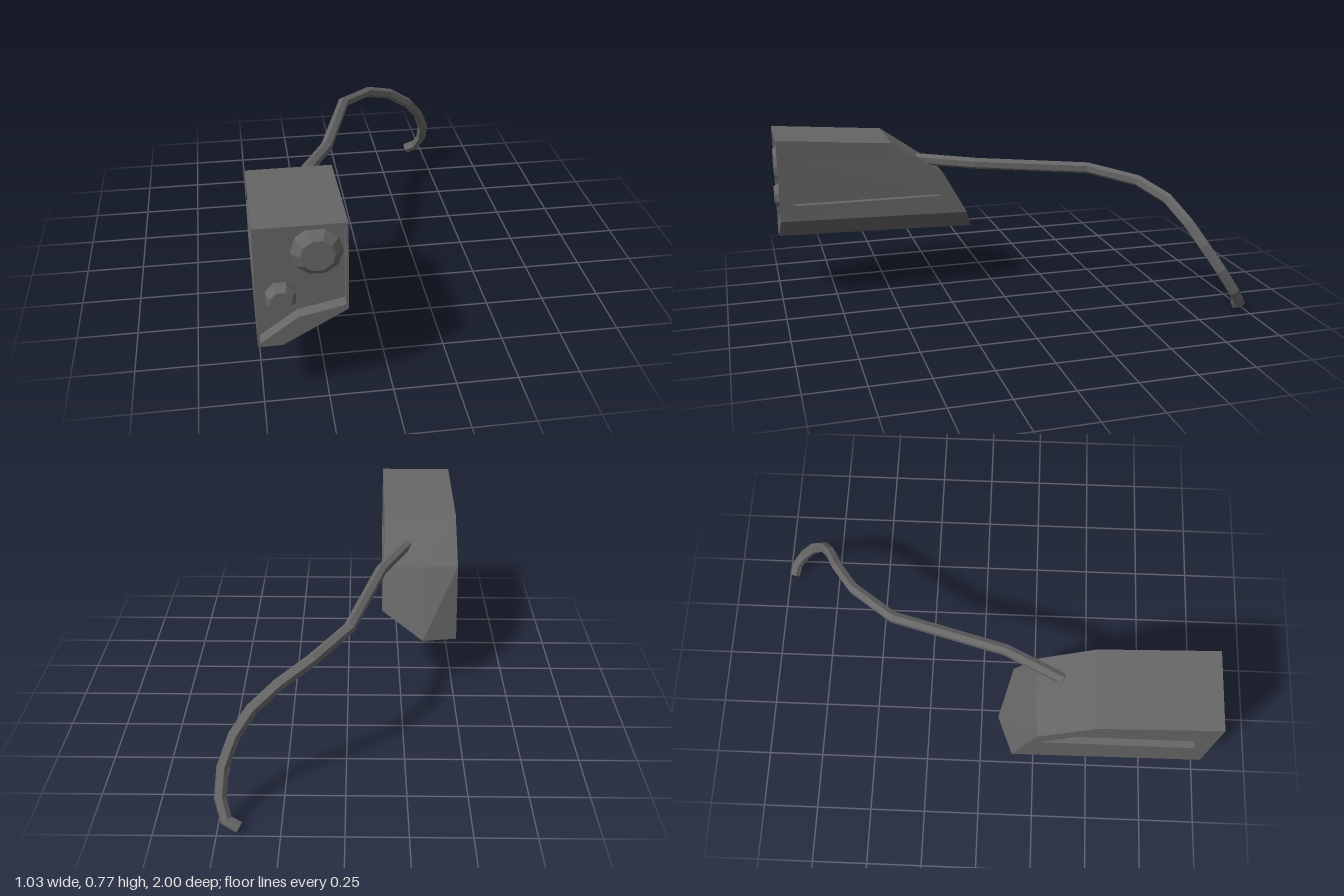
import * as THREE from 'three';

const grey = new THREE.MeshStandardMaterial({ color: 0x666666 });
grey.name = 'dark grey';

const mesh = (name, geo) => {
  const flat = geo.index ? geo.toNonIndexed() : geo;
  flat.computeVertexNormals();
  const m = new THREE.Mesh(flat, grey);
  m.name = name;
  return m;
};

// Flat-shaded geometry from a list of polygons, each split into a fan
function polygons(polys) {
  const out = [];
  for (const p of polys)
    for (let i = 1; i < p.length - 1; i++) out.push(...p[0], ...p[i], ...p[i + 1]);
  const g = new THREE.BufferGeometry();
  g.setAttribute('position', new THREE.Float32BufferAttribute(out, 3));
  return g;
}

// Outline with a sunken pocket; place(u, v, depth) gives the 3D point
function recessedPanel(outline, pocket, depth, place) {
  const vec = (list) => list.map(([u, v]) => new THREE.Vector2(u, v));
  const ccw = (list) => (THREE.ShapeUtils.area(vec(list)) < 0 ? [...list].reverse() : list);
  const outer = ccw(outline), inner = ccw(pocket), hole = [...inner].reverse();
  const all = [...outer, ...hole];
  const polys = THREE.ShapeUtils.triangulateShape(vec(outer), [vec(hole)])
    .map((t) => t.map((i) => place(...all[i], 0)));
  for (const t of THREE.ShapeUtils.triangulateShape(vec(inner), []))
    polys.push(t.map((i) => place(...inner[i], depth)));
  inner.forEach((a, i) => {
    const b = inner[(i + 1) % inner.length];
    polys.push([place(...a, 0), place(...b, 0), place(...b, depth), place(...a, depth)]);
  });
  return polygons(polys);
}

// The left side flares out slightly toward the low rear corner
const leftX = (z, y) => -0.172 + 0.014 * ((0.99 - z) / 0.85) * ((0.775 - y) / 0.385);
const rightX = -0.513;

function knob(name, x, y, r, face, sides, turn) {
  const profile = [[r * 0.88, 0], [r, 0.012], [r, 0.032], [r * 0.9, 0.042], [face, 0.06], [0, 0.06]]
    .map(([a, b]) => new THREE.Vector2(a, b));
  const geo = new THREE.LatheGeometry(profile, sides);
  geo.rotateY(turn).rotateX(Math.PI / 2);
  const m = mesh(name, geo);
  m.position.set(x, y, 0.94);
  return m;
}

export function createModel() {
  const model = new THREE.Group();
  const body = new THREE.Group();
  body.name = 'housing';
  model.add(body);

  // Housing corners: front, top rear, middle rear, low rear
  const A = [rightX, 0.775, 0.99], B = [leftX(0.99, 0.775), 0.775, 0.99];
  const C = [leftX(0.99, 0.405), 0.405, 0.99], D = [-0.42, 0.264, 0.99], E = [rightX, 0.264, 0.99];
  const F = [rightX, 0.735, 0.48], G = [leftX(0.48, 0.735), 0.735, 0.48];
  const H = [rightX, 0.57, 0.245], I = [-0.35, 0.57, 0.235], J = [leftX(0.24, 0.57), 0.57, 0.24];
  const K = [rightX, 0.237, 0.145], L = [-0.35, 0.262, 0.078], M = [leftX(0.14, 0.39), 0.39, 0.14];
  body.add(mesh('housingShell', polygons([
    [A, B, G, F], [F, G, J, I, H], [H, I, L, K], [I, J, M, L], [L, M, C, D], [K, L, D, E],
  ])));

  // Side walls with a sunken panel each
  const pocket = [[0.925, 0.475], [0.925, 0.69], [0.485, 0.655], [0.26, 0.475]];
  const flip = (list) => list.map(([z, y]) => [-z, y]);
  const zy = (list) => list.map((p) => [p[2], p[1]]);
  body.add(mesh('leftSidePanel', recessedPanel(flip(zy([B, G, J, M, C])), flip(pocket), 0.03,
    (u, y, d) => [leftX(-u, y) - d, y, -u])));
  body.add(mesh('rightSidePanel', recessedPanel(zy([A, F, H, K, E]), pocket, 0.03,
    (z, y, d) => [rightX + d, y, z])));

  // Front with a sunken face inside a thin rim
  body.add(mesh('frontPanel', recessedPanel(
    [A, B, C, D, E].map((p) => [p[0], p[1]]),
    [[-0.503, 0.28], [-0.36, 0.385], [-0.181, 0.424], [-0.181, 0.756], [-0.503, 0.756]],
    0.05, (x, y, d) => [x, y, 0.99 - d])));

  // Knobs on the front face
  model.add(knob('largeKnob', -0.283, 0.65, 0.095, 0.064, 10, Math.PI / 2));
  model.add(knob('smallKnob', -0.42, 0.463, 0.06, 0.044, 8, Math.PI / 8));

  // Curved tail, six-sided
  const path = new THREE.CatmullRomCurve3([
    [-0.275, 0.632, 0.35], [-0.15, 0.622, 0.1], [-0.01, 0.6, -0.4], [0.135, 0.562, -0.59],
    [0.262, 0.505, -0.68], [0.37, 0.42, -0.735], [0.437, 0.33, -0.785], [0.48, 0.225, -0.85],
    [0.487, 0.125, -0.915], [0.463, 0.055, -0.962], [0.413, 0.03, -0.975],
  ].map((p) => new THREE.Vector3(...p)));
  path.getPointAt = (t, v) => path.getPoint(t, v);
  path.getTangentAt = (t, v) => path.getTangent(t, v);
  const hexagon = new THREE.Shape(Array.from({ length: 6 }, (_, i) => {
    const a = (i * Math.PI) / 3;
    return new THREE.Vector2(0.026 * Math.cos(a), 0.026 * Math.sin(a));
  }));
  model.add(mesh('tail', new THREE.ExtrudeGeometry(hexagon,
    { steps: 10, extrudePath: path, bevelEnabled: false })));

  return model;
}
